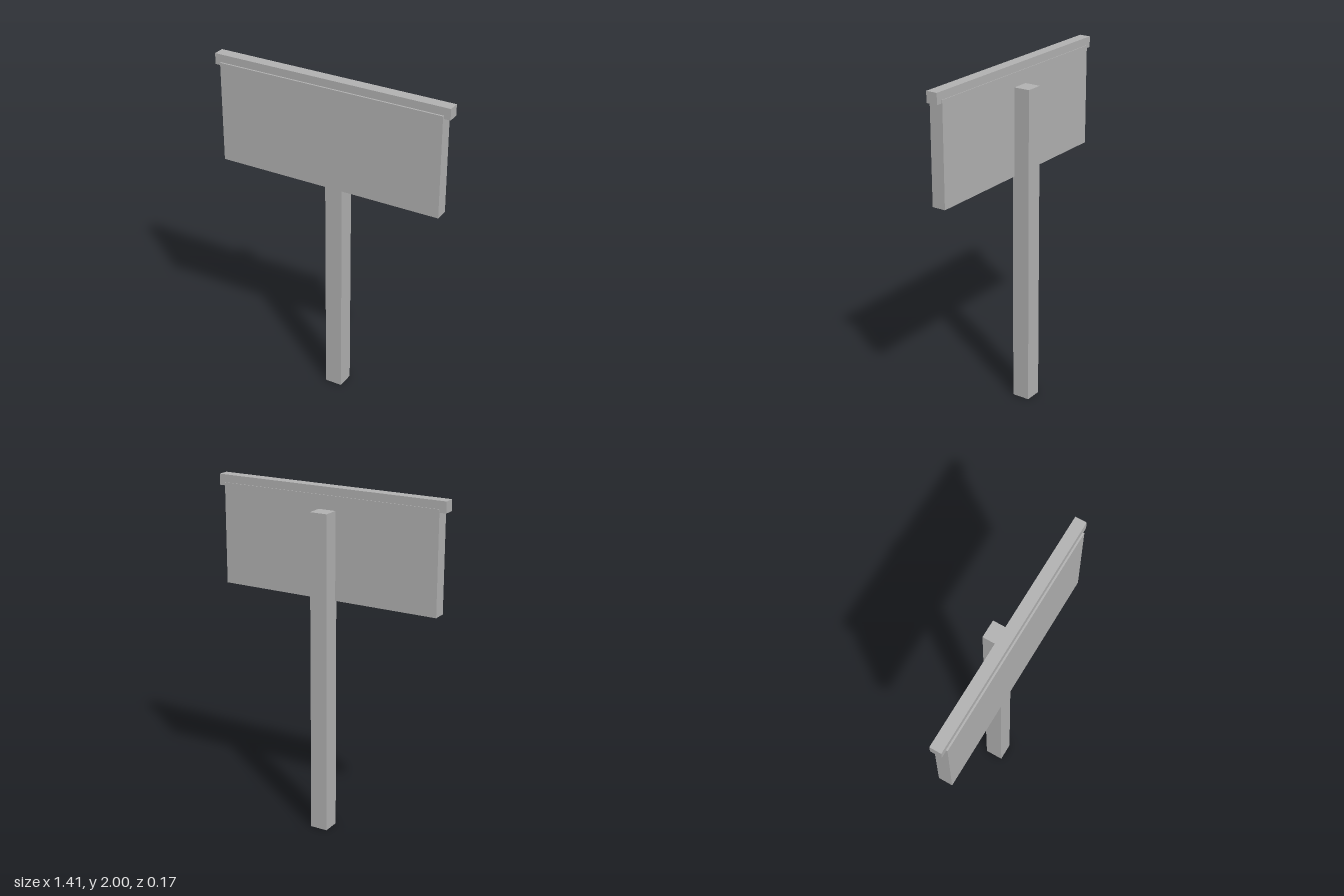
import * as THREE from 'three';

export function createModel() {
  const sign = new THREE.Group();
  sign.name = 'signpost';

  const grey = new THREE.MeshStandardMaterial({ color: 0xb3b3b3 });
  grey.name = 'plain grey';

  // Box centred on x = 0, given its half width and its y and z ranges
  function addBox(name, halfWidth, [y0, y1], [z0, z1]) {
    const mesh = new THREE.Mesh(new THREE.BoxGeometry(halfWidth * 2, y1 - y0, z1 - z0), grey);
    mesh.position.set(0, (y0 + y1) / 2, (z0 + z1) / 2);
    mesh.name = name;
    sign.add(mesh);
  }

  // Square upright behind the board, sunk slightly into it
  addBox('post', 0.052, [0, 1.875], [-0.087, 0.019]);
  // Sign panel
  addBox('board', 0.67, [1.37, 1.955], [0.007, 0.087]);
  // Narrow rail along the top, overhanging both ends
  addBox('topRail', 0.707, [1.937, 2], [0.011, 0.077]);

  return sign;
}
